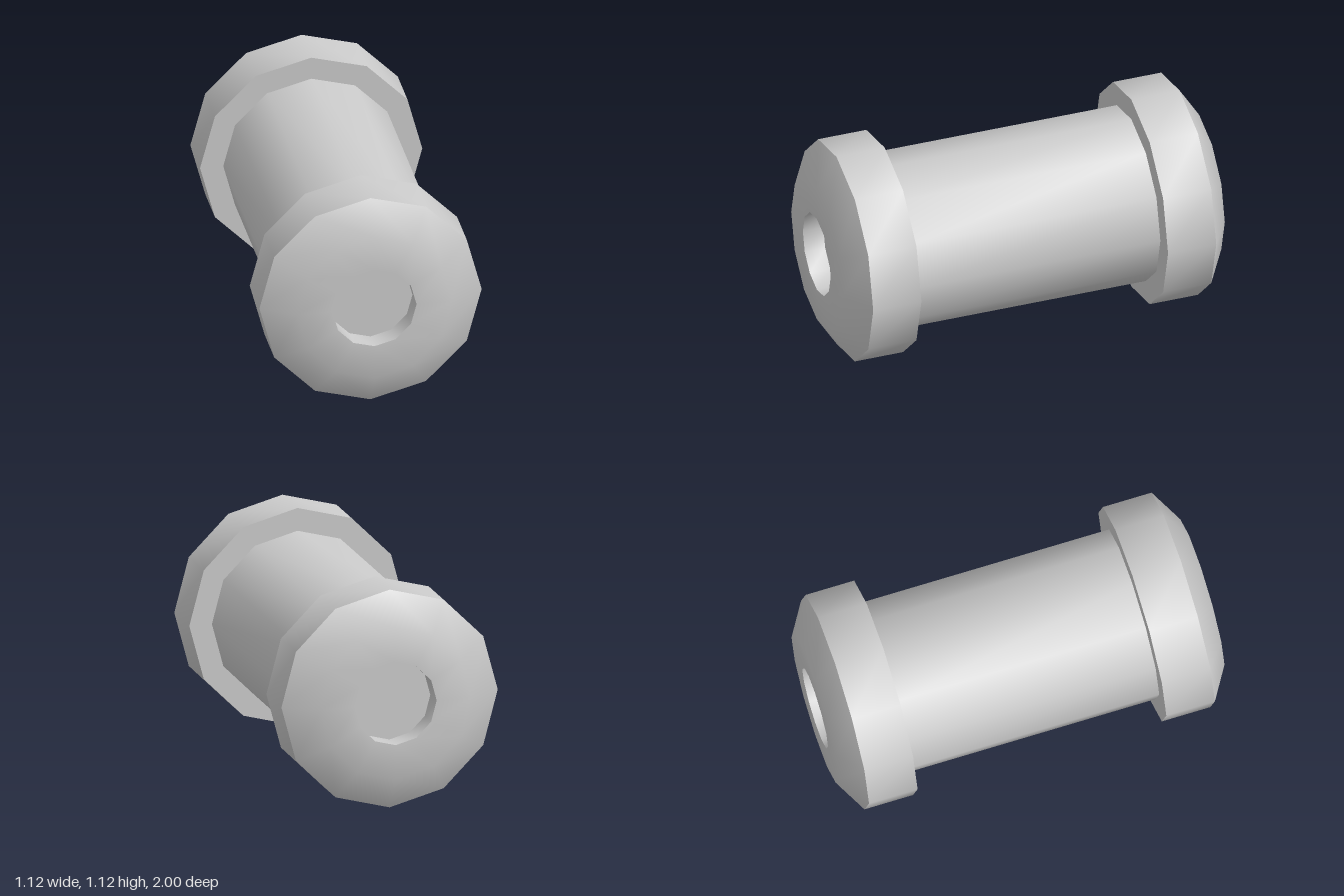
import * as THREE from 'three';
import { toCreasedNormals } from 'three/addons/utils/BufferGeometryUtils.js';

const SIDES = 12;
const CENTER_Y = 0.56;

// Revolves [radius, z] points, listed from back to front, around the z axis.
function turned(name, profile, material) {
  const points = profile.map(([r, z]) => new THREE.Vector2(r, z));
  const lathe = new THREE.LatheGeometry(points, SIDES).rotateX(Math.PI / 2);
  const mesh = new THREE.Mesh(toCreasedNormals(lathe, THREE.MathUtils.degToRad(40)), material);
  mesh.name = name;
  return mesh;
}

export function createModel() {
  const model = new THREE.Group();
  model.name = 'spool';
  const grey = new THREE.MeshStandardMaterial({ color: 0xcccccc });

  // Plain barrel between the two end caps
  const barrel = turned('barrel', [[0.443, -0.645], [0.443, 0.645]], grey);
  barrel.position.y = CENTER_Y;
  model.add(barrel);

  // Chamfered end caps, each with a shallow round recess
  const capProfile = [
    [0.443, 0.645], [0.56, 0.645], [0.56, 0.897],
    [0.39, 1], [0.212, 1], [0.212, 0.893], [0, 0.893],
  ];
  for (const [name, turn] of [['frontCap', 0], ['backCap', Math.PI]]) {
    const cap = turned(name, capProfile, grey);
    cap.position.y = CENTER_Y;
    cap.rotation.y = turn;
    model.add(cap);
  }
  return model;
}
